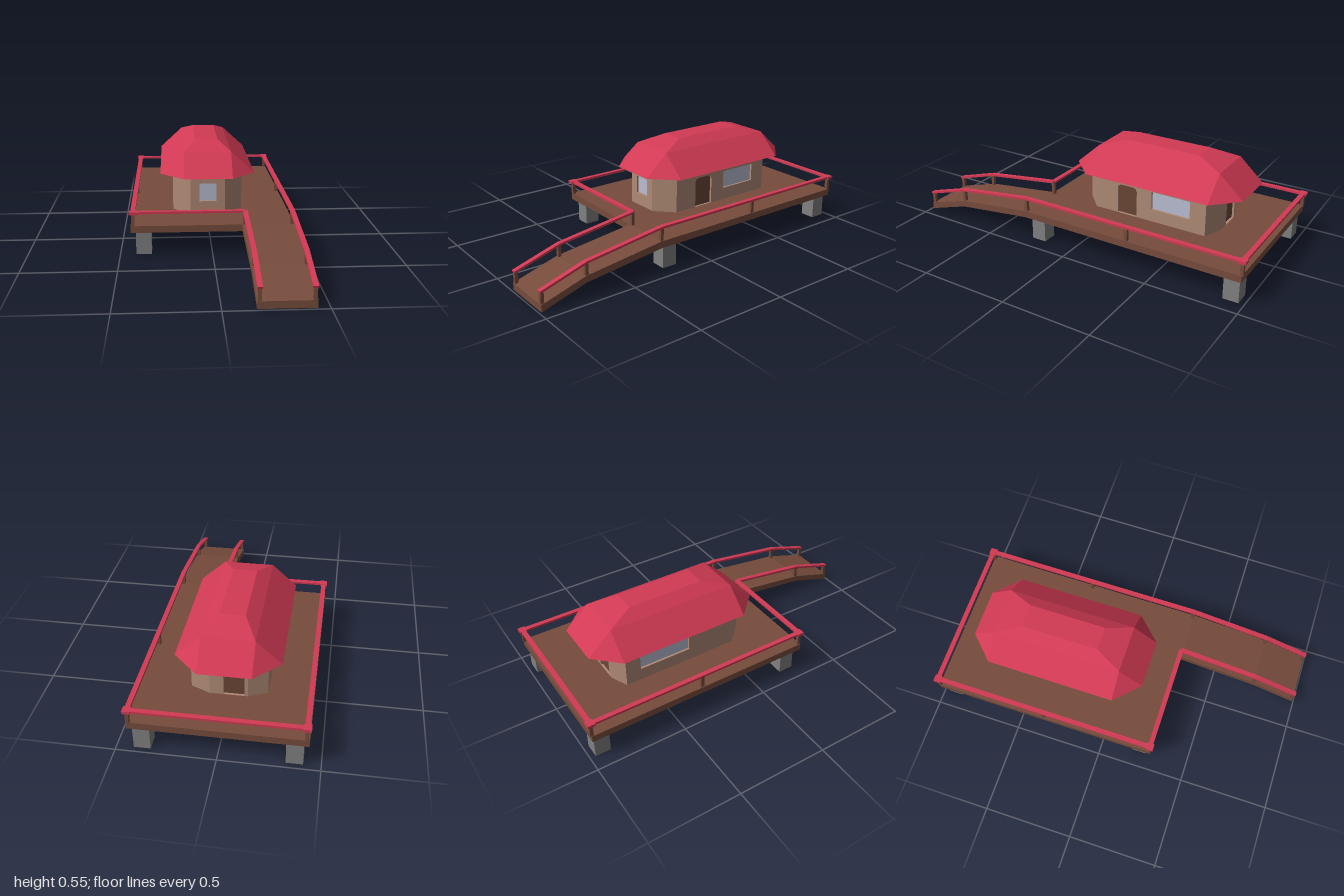
import * as THREE from 'three';

const material = (name, color) => {
  const m = new THREE.MeshStandardMaterial({ color, flatShading: true });
  m.name = name;
  return m;
};

export function createModel() {
  const red = material('red', 0xd23a54);
  const wood = material('brown wood', 0x774c3c);
  const doorWood = material('door wood', 0x6b4635);
  const tan = material('tan wall', 0xaf8a75);
  const stone = material('grey stone', 0x808080);
  const glass = material('pale glass', 0xb9bdd2);
  const root = new THREE.Group();
  root.name = 'raisedCabin';

  const add = (name, geometry, mat, parent = root) => {
    const mesh = new THREE.Mesh(geometry, mat);
    mesh.name = name;
    parent.add(mesh);
    return mesh;
  };
  const box = (name, mat, x0, x1, y0, y1, z0, z1) => {
    const mesh = add(name, new THREE.BoxGeometry(x1 - x0, y1 - y0, z1 - z0), mat);
    mesh.position.set((x0 + x1) / 2, (y0 + y1) / 2, (z0 + z1) / 2);
    return mesh;
  };

  // Deck and its four stilts
  box('deck', wood, -0.44, 0.44, 0.132, 0.17, -0.985, 0.29);
  for (const x of [-0.372, 0.372])
    for (const z of [-0.928, 0.218]) box('stilt', stone, x - 0.042, x + 0.042, 0, 0.135, z - 0.042, z + 0.042);

  // Bent ramp: side profile in (z, y) pulled across its width
  const rampShape = new THREE.Shape([
    [0.29, 0.132], [0.74, 0.079], [0.99, 0.002], [0.99, 0.04], [0.74, 0.115], [0.29, 0.17],
  ].map(([z, y]) => new THREE.Vector2(z, y)));
  const rampGeo = new THREE.ExtrudeGeometry(rampShape, { depth: 0.28, bevelEnabled: false });
  rampGeo.rotateY(-Math.PI / 2).translate(0.44, 0, 0);
  add('ramp', rampGeo, wood);

  // Handrails and posts
  const rail = (...points) => {
    for (let i = 0; i + 1 < points.length; i++) {
      const a = new THREE.Vector3(...points[i]), b = new THREE.Vector3(...points[i + 1]);
      const mesh = add('handrail', new THREE.BoxGeometry(0.026, 0.012, a.distanceTo(b) + 0.002), red);
      mesh.position.copy(a).lerp(b, 0.5);
      mesh.lookAt(b);
    }
  };
  const post = (x, z, y0, y1) => box('post', wood, x - 0.009, x + 0.009, y0, y1, z - 0.009, z + 0.009);
  const E = 0.427, T = 0.244, F = 0.283, B = -0.982;
  const slope = (x) => [[x, T, F], [x, 0.183, 0.735], [x, 0.105, 0.99]];
  rail([-E, T, F], [-E, T, B]);
  rail([-E, T, B], [E, T, B]);
  rail([-E, T, F], [0.173, T, F]);
  rail([E, T, B], ...slope(E));
  rail(...slope(0.173));
  for (const x of [-E, E]) for (const z of [F, -0.35, B]) post(x, z, 0.165, T);
  post(0.173, F, 0.165, T);
  for (const x of [0.173, E]) {
    post(x, 0.735, 0.11, 0.183);
    post(x, 0.98, 0.035, 0.106);
  }
  for (const [x, z] of [[-E, F], [-E, B], [E, B]])
    box('railCap', red, x - 0.02, x + 0.02, T - 0.008, T + 0.007, z - 0.02, z + 0.02);

  // Opening outline with clipped top corners
  const opening = ([u0, u1, v0, v1, c]) => [
    [u0, v0], [u1, v0], [u1, v1 - c], [u1 - c * 0.3, v1 - c * 0.3], [u1 - c, v1],
    [u0 + c, v1], [u0 + c * 0.3, v1 - c * 0.3], [u0, v1 - c],
  ].map(([u, v]) => new THREE.Vector2(u, v));

  // Eight wall panels, each with recessed windows or doors
  const outline = [
    [-0.113, 0.08], [0.08, 0.08], [0.18, -0.015], [0.18, -0.672],
    [0.08, -0.715], [-0.113, -0.715], [-0.21, -0.672], [-0.21, -0.015],
  ];
  const openings = {
    0: [[0.049, 0.145, 0.24, 0.342, 0.01, glass]],
    2: [[0.135, 0.253, 0.171, 0.34, 0.022, doorWood], [0.343, 0.567, 0.24, 0.342, 0.004, glass]],
    4: [[0.07, 0.175, 0.171, 0.34, 0.022, doorWood]],
    6: [[0.085, 0.38, 0.24, 0.342, 0.004, glass]],
  };
  const house = new THREE.Group();
  house.name = 'house';
  root.add(house);
  outline.forEach(([x, z], i) => {
    const [x2, z2] = outline[(i + 1) % 8];
    const length = Math.hypot(x2 - x, z2 - z);
    const panel = new THREE.Group();
    panel.name = 'wallPanel';
    panel.position.set(x, 0, z);
    panel.rotation.y = Math.atan2(z - z2, x2 - x);
    house.add(panel);
    const shape = new THREE.Shape([[0, 0.16], [length, 0.16], [length, 0.385], [0, 0.385]]
      .map(([u, v]) => new THREE.Vector2(u, v)));
    for (const o of openings[i] || []) {
      shape.holes.push(new THREE.Path(opening(o)));
      const pane = new THREE.ShapeGeometry(new THREE.Shape(opening(o))).translate(0, 0, -0.012);
      add(o[5] === glass ? 'windowPane' : 'door', pane, o[5], panel);
    }
    const wall = new THREE.ExtrudeGeometry(shape, { depth: 0.016, bevelEnabled: false });
    add('wall', wall.translate(0, 0, -0.016), tan, panel);
  });

  // Roof: rings running from the wall head, out to the eave and up to the flat ridge
  const ring = (y, xi, xo, zi, zo) => {
    const cx = -0.015, cz = -0.348;
    return [[-xi, zo], [xi, zo], [xo, zi], [xo, -zi], [xi, -zo], [-xi, -zo], [-xo, -zi], [-xo, zi]]
      .map(([x, z]) => [cx + x, y, cz + z]);
  };
  const rings = [
    outline.map(([x, z]) => [x, 0.374, z]),
    ring(0.385, 0.133, 0.265, 0.36, 0.493),
    ring(0.506, 0.133, 0.133, 0.36, 0.36),
    ring(0.549, 0.065, 0.065, 0.215, 0.215),
  ];
  const pos = [];
  for (let r = 0; r < 3; r++)
    for (let i = 0; i < 8; i++) {
      const j = (i + 1) % 8, [lo, hi] = [rings[r], rings[r + 1]];
      pos.push(...lo[i], ...lo[j], ...hi[j], ...lo[i], ...hi[j], ...hi[i]);
    }
  const top = rings[3];
  pos.push(...top[0], ...top[1], ...top[4], ...top[0], ...top[4], ...top[5]);
  const roofGeo = new THREE.BufferGeometry();
  roofGeo.setAttribute('position', new THREE.Float32BufferAttribute(pos, 3));
  roofGeo.computeVertexNormals();
  add('roof', roofGeo, red, house);

  return root;
}
